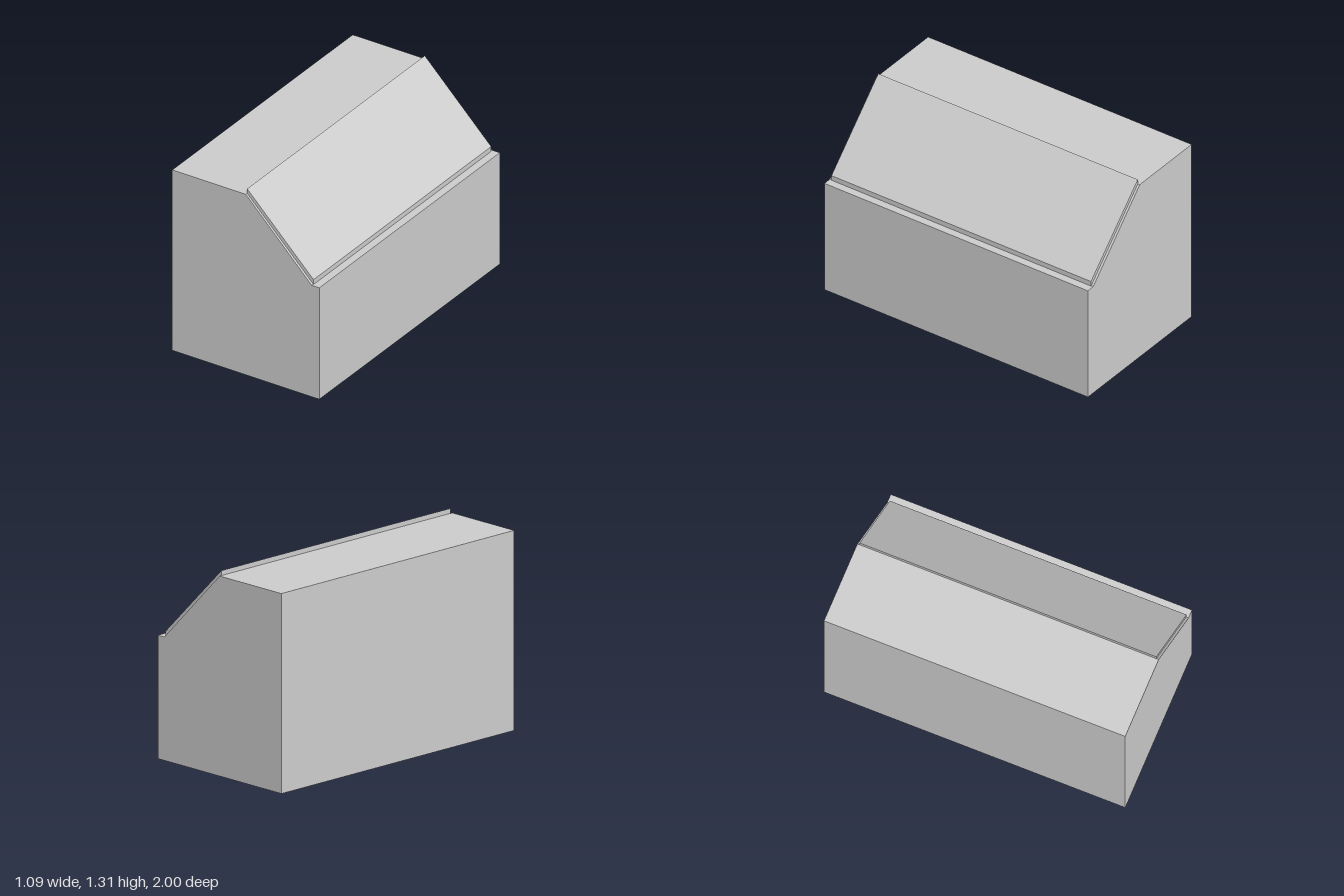
import * as THREE from 'three';

// Extrude an x/y profile along z, centred on z = 0
function prism(name, points, length, material) {
  const shape = new THREE.Shape(points.map(([x, y]) => new THREE.Vector2(x, y)));
  const geometry = new THREE.ExtrudeGeometry(shape, { depth: length, bevelEnabled: false });
  geometry.translate(0, 0, -length / 2);
  const mesh = new THREE.Mesh(geometry, material);
  mesh.name = name;
  return mesh;
}

export function createModel() {
  const group = new THREE.Group();
  group.name = 'slopedCabinet';
  const grey = new THREE.MeshStandardMaterial({ color: 0xcccccc, flatShading: true });

  // Solid body with a flat top, a 45 degree slope and a narrow ledge
  group.add(prism('body', [
    [-0.543, 0], [0.543, 0], [0.543, 0.79], [0.486, 0.79], [0, 1.28], [-0.543, 1.28],
  ], 2, grey));

  // Thin lid lying on the slope, inset slightly at both ends
  group.add(prism('slopedLid', [
    [0, 1.28], [0.49, 0.79], [0.49, 0.824], [0, 1.312],
  ], 1.97, grey));

  return group;
}
